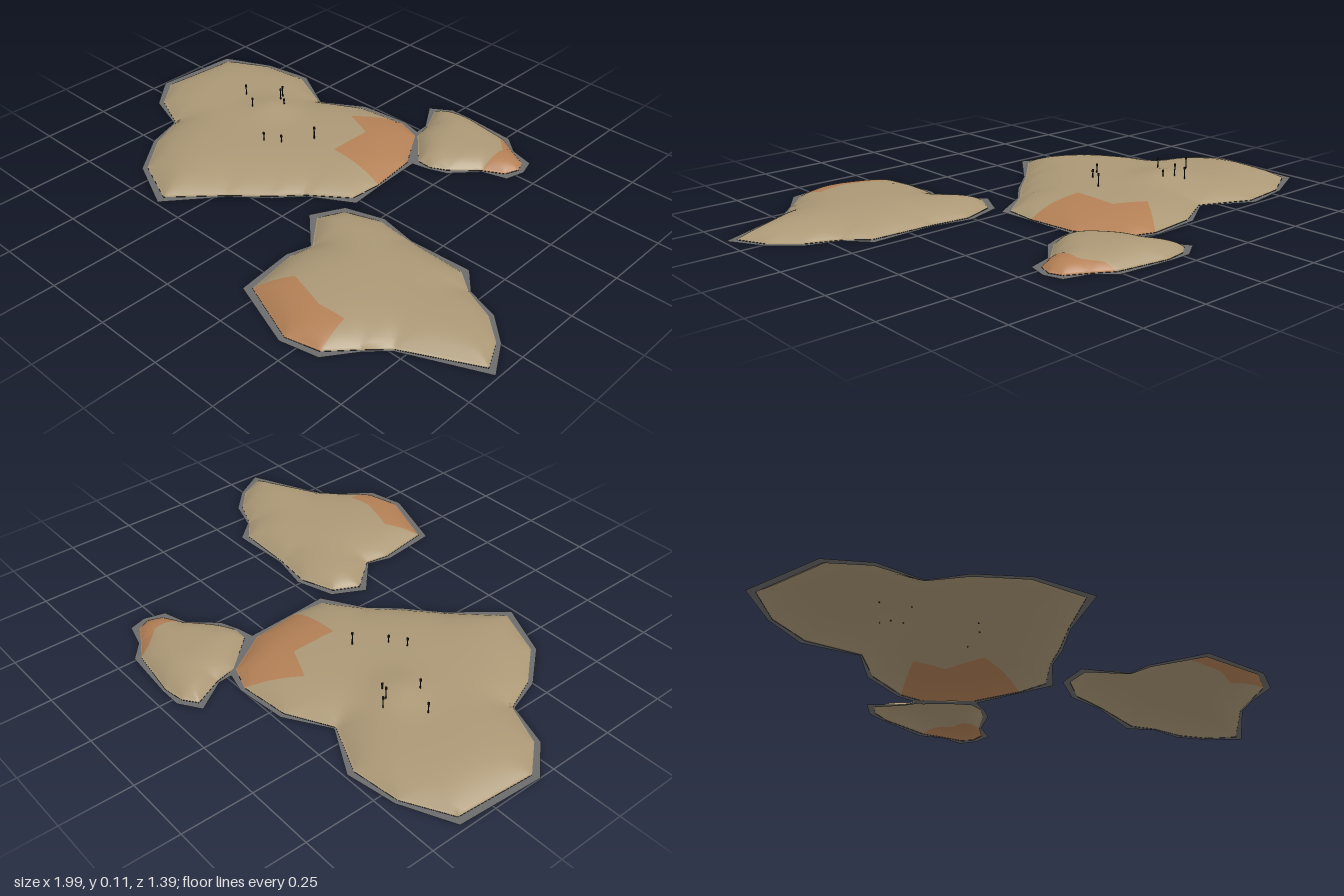
import * as THREE from 'three';
import { mergeGeometries } from 'three/addons/utils/BufferGeometryUtils.js';

const mat = (name, color) => Object.assign(
  new THREE.MeshStandardMaterial({ color, side: THREE.DoubleSide }), { name });

// Rounded mound profile driven by a soft distance to the edge, plus one gentle peak
function heightField(edge, height, reach, peak) {
  return (x, z) => {
    let sum = 0;
    for (let i = 0; i < edge.length; i++) {
      const [ax, az] = edge[i], [bx, bz] = edge[(i + 1) % edge.length];
      const dx = bx - ax, dz = bz - az;
      const t = THREE.MathUtils.clamp(((x - ax) * dx + (z - az) * dz) / (dx * dx + dz * dz), 0, 1);
      const d = Math.hypot(x - ax - t * dx, z - az - t * dz);
      if (d < 1e-5) return 0.001;
      sum += d ** -4;
    }
    const k = Math.max(0, 1 - sum ** -0.25 / reach);
    const r = Math.hypot(x - peak.x, z - peak.z) / peak.radius;
    return 0.001 + (height + peak.rise * Math.exp(-r * r)) * (1 - k * k * k);
  };
}

// Moves each outline point inwards, further at sharp outer corners
function insetOutline(outline) {
  const n = outline.length;
  return outline.map(([x, z], i) => {
    const [px, pz] = outline[(i + n - 1) % n], [nx, nz] = outline[(i + 1) % n];
    const a = new THREE.Vector2(x - px, z - pz).normalize();
    const b = new THREE.Vector2(nx - x, nz - z).normalize();
    const width = 0.008 + 0.026 * Math.max(0, a.cross(b));
    const along = a.add(b).normalize();
    return [x - along.y * width, z + along.x * width];
  });
}

// Triangulates a flat region, subdivides it and drapes it over the height field
function drape(points, h) {
  const flat = points.map(([x, z]) => new THREE.Vector2(x, z));
  let tris = THREE.ShapeUtils.triangulateShape(flat, []).map(t => t.map(i => [flat[i].x, flat[i].y]));
  const mid = (a, b) => [(a[0] + b[0]) / 2, (a[1] + b[1]) / 2];
  for (let level = 0; level < 5; level++) {
    tris = tris.flatMap(([a, b, c]) => {
      const ab = mid(a, b), bc = mid(b, c), ca = mid(c, a);
      return [[a, ab, ca], [ab, b, bc], [ca, bc, c], [ab, bc, ca]];
    });
  }
  const pos = [], nor = [], e = 0.006, v = new THREE.Vector3();
  for (const [a, b, c] of tris) {
    const up = (b[1] - a[1]) * (c[0] - a[0]) - (b[0] - a[0]) * (c[1] - a[1]) > 0;
    for (const [x, z] of up ? [a, b, c] : [a, c, b]) {
      pos.push(x, h(x, z), z);
      v.set(h(x - e, z) - h(x + e, z), 2 * e, h(x, z - e) - h(x, z + e)).normalize();
      nor.push(v.x, v.y, v.z);
    }
  }
  const g = new THREE.BufferGeometry();
  g.setAttribute('position', new THREE.Float32BufferAttribute(pos, 3));
  g.setAttribute('normal', new THREE.Float32BufferAttribute(nor, 3));
  return g;
}

// Flat border between the outer and inner outlines
function rimGeometry(outer, inner) {
  const pos = [];
  outer.forEach((o, i) => {
    const j = (i + 1) % outer.length;
    for (const [x, z] of [o, inner[i], inner[j], o, inner[j], outer[j]]) pos.push(x, 0, z);
  });
  const g = new THREE.BufferGeometry();
  g.setAttribute('position', new THREE.Float32BufferAttribute(pos, 3));
  g.computeVertexNormals();
  return g;
}

export function createModel() {
  const model = new THREE.Group();
  model.name = 'moundCluster';
  const sand = mat('sand', 0xab9876), clay = mat('clay', 0xb38056);
  const stone = mat('stone', 0x6b6c6b), dark = mat('darkPost', 0x1e1b18);
  const add = (parent, name, geometry, material) => {
    const mesh = new THREE.Mesh(geometry, material);
    mesh.name = name;
    parent.add(mesh);
  };

  // One mound: the clay patch spans outline points from..to and is closed by the cut points
  function addMound(name, { height, reach, peak, outline, from, to, cut }) {
    const group = new THREE.Group();
    group.name = name;
    model.add(group);
    const inner = insetOutline(outline);
    const h = heightField(inner, height, reach, peak);
    const patch = [...inner.slice(from, to + 1), ...cut];
    const rest = [...inner.slice(0, from + 1), ...[...cut].reverse(), ...inner.slice(to)];
    add(group, 'moundSurface', drape(rest, h), sand);
    add(group, 'clayPatch', drape(patch, h), clay);
    add(group, 'stoneRim', rimGeometry(outline, inner), stone);
    return h;
  }

  const ground = addMound('largeMound', {
    height: 0.056, reach: 0.24, peak: { x: -0.48, z: -0.16, rise: 0.02, radius: 0.09 },
    outline: [[-0.98, -0.375], [-0.8, -0.46], [-0.62, -0.49], [-0.44, -0.39], [-0.29, -0.485],
      [-0.1, -0.505], [0.01, -0.475], [0.11, -0.3], [0.12, -0.115], [0.13, 0.02], [-0.02, 0.11],
      [-0.1, 0.2], [-0.22, 0.305], [-0.37, 0.49], [-0.575, 0.395], [-0.69, 0.25],
      [-0.735, 0.115], [-0.895, 0.06], [-1, -0.06]],
    from: 5, to: 8, cut: [[-0.105, -0.115], [-0.105, -0.285], [-0.225, -0.335]],
  });
  addMound('smallMound', {
    height: 0.046, reach: 0.13, peak: { x: 0.1, z: -0.58, rise: 0.004, radius: 0.08 },
    outline: [[-0.1, -0.65], [-0.025, -0.7], [0.06, -0.7], [0.26, -0.682], [0.325, -0.625],
      [0.415, -0.6], [0.435, -0.535], [0.415, -0.46], [0.325, -0.433], [0.24, -0.34],
      [0.175, -0.315], [0.105, -0.3], [-0.02, -0.45], [-0.025, -0.535]],
    from: 3, to: 8, cut: [[0.32, -0.56], [0.265, -0.62]],
  });
  addMound('middleMound', {
    height: 0.054, reach: 0.2, peak: { x: 0.42, z: 0.3, rise: 0.003, radius: 0.12 },
    outline: [[0.06, 0.18], [0.12, 0.065], [0.26, 0.02], [0.405, 0.05], [0.64, 0.04], [0.71, 0.12],
      [0.83, 0.16], [0.92, 0.245], [0.99, 0.365], [0.715, 0.49], [0.65, 0.555],
      [0.575, 0.66], [0.44, 0.69], [0.185, 0.6], [0.16, 0.385], [0.185, 0.3]],
    from: 11, to: 13, cut: [[0.3, 0.485], [0.45, 0.53], [0.545, 0.52]],
  });

  // Thin posts with small heads on the large mound: x, z, top
  const posts = [[-0.51, -0.25, 0.1], [-0.49, -0.22, 0.11], [-0.45, -0.2, 0.09], [-0.62, -0.16, 0.1],
    [-0.525, -0.105, 0.104], [-0.205, -0.115, 0.105], [-0.275, -0.015, 0.086], [-0.33, 0.02, 0.09]];
  for (const [x, z, top] of posts) {
    const base = ground(x, z) - 0.003;
    const stem = new THREE.CylinderGeometry(0.0018, 0.0022, top - base, 6).translate(x, (top + base) / 2, z);
    const head = new THREE.CylinderGeometry(0.004, 0.004, 0.009, 6).translate(x, top - 0.0045, z);
    add(model, 'post', mergeGeometries([stem, head]), dark);
  }
  return model;
}
